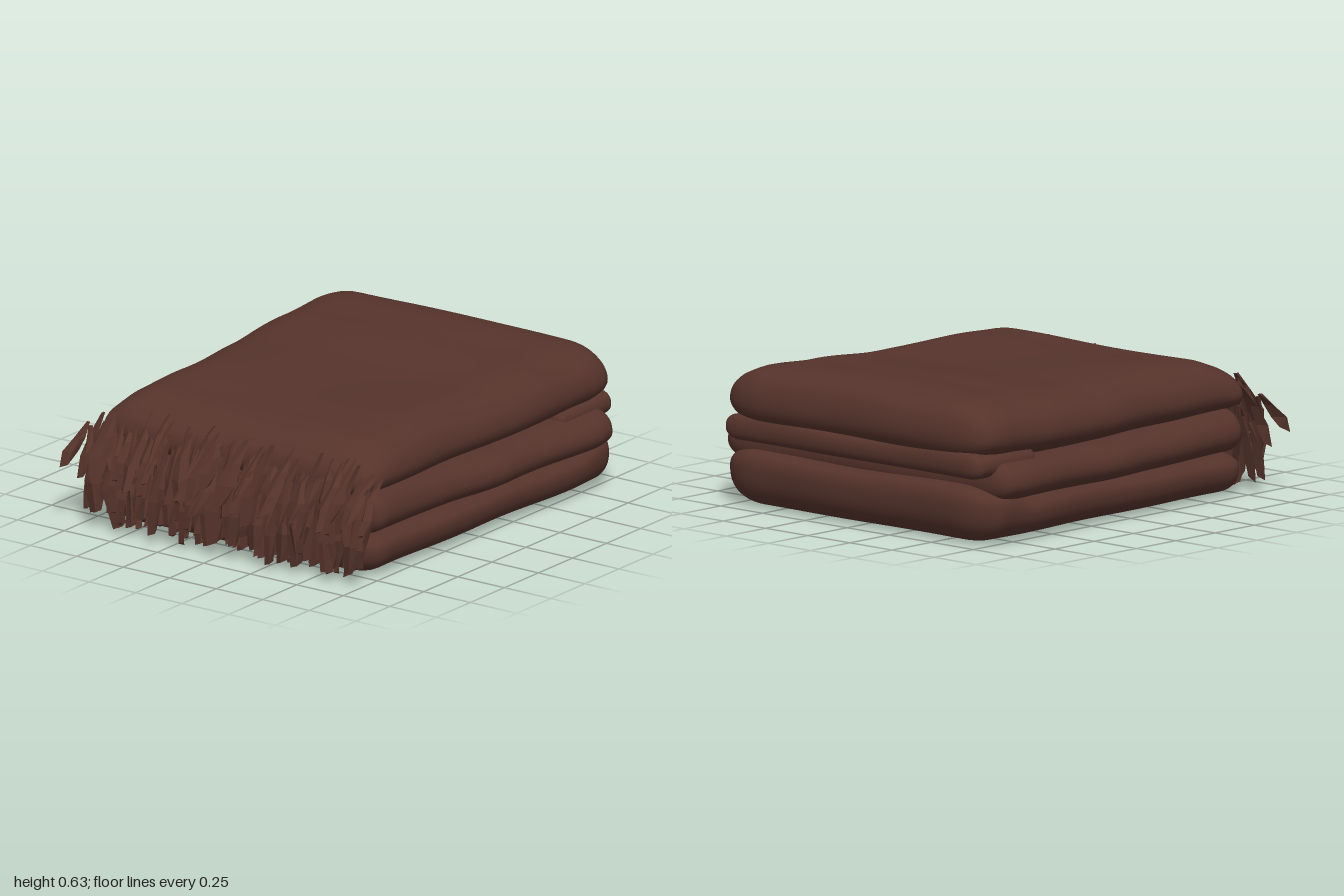
import * as THREE from 'three';
import { mergeVertices } from 'three/addons/utils/BufferGeometryUtils.js';

// Small seeded random, so the fringe is always the same
function seeded(seed) {
  return () => {
    seed = (seed * 1664525 + 1013904223) % 4294967296;
    return seed / 4294967296;
  };
}

// Smooth lookup in stations [z, left, right, bottom, top]
function sample(stations, z) {
  let i = 0;
  while (i < stations.length - 2 && z > stations[i + 1][0]) i++;
  const a = stations[i], b = stations[i + 1];
  const t = THREE.MathUtils.smoothstep(z, a[0], b[0]);
  return a.map((v, k) => v + (b[k] - v) * t);
}

// A soft folded layer: a rounded unit box stretched over its stations.
// belly is the height (-1 to 1) at which the rim is widest, power its squareness.
function layerGeometry(stations, { rx, rz, belly, power, phase }) {
  const z0 = stations[0][0], z1 = stations[stations.length - 1][0];
  let geo = new THREE.BoxGeometry(2, 2, 2, 48, 12, 60);
  geo.deleteAttribute('normal');
  geo.deleteAttribute('uv');
  geo = mergeVertices(geo, 1e-4);
  const pos = geo.attributes.position;
  const p = new THREE.Vector3(), q = new THREE.Vector3(), d = new THREE.Vector3();
  const r = new THREE.Vector3(rx, 1, rz);
  const lo = new THREE.Vector3(rx - 1, belly, rz - 1);
  const hi = new THREE.Vector3(1 - rx, belly, 1 - rz);
  for (let i = 0; i < pos.count; i++) {
    p.fromBufferAttribute(pos, i);
    q.copy(p).clamp(lo, hi);
    r.y = p.y > belly ? 1 - belly : 1 + belly;
    d.copy(p).sub(q).divide(r);
    const side = Math.hypot(d.x, d.z);
    d.divideScalar(Math.pow(side ** power + Math.abs(d.y) ** power, 1 / power));
    p.copy(q).add(d.multiply(r));
    const z = z0 + (z1 - z0) * (p.z + 1) / 2;
    const [, left, right, bottom, top] = sample(stations, z);
    const end = 0.006 * Math.sin(p.x * 6 + phase) * p.z ** 3;
    const wave = 0.008 * Math.sin(z * 8 + phase) * p.x;
    const sag = 0.005 * Math.sin(p.x * 4 + z * 3 + phase) * Math.max(0, p.y);
    pos.setXYZ(i,
      left + (right - left) * (p.x + 1) / 2 + wave,
      bottom + (top - bottom) * (p.y + 1) / 2 + sag,
      z + end);
  }
  geo.computeVertexNormals();
  return geo;
}

// One tier of ragged strands, each a bent three-sided strip
function fringeGeometry(count, tier, rand) {
  const verts = [];
  const pick = ([a, b]) => a + (b - a) * rand();
  const tri = (a, b, c) => verts.push(...a, ...b, ...c);
  for (let i = 0; i < count; i++) {
    const x = ((i + 0.5) / count * 2 - 1) * tier.span + (rand() - 0.5) * 0.03;
    const lean = (rand() - 0.5) * 0.12 - x * 0.03;
    const corner = Math.pow(Math.abs(x) / 0.8, 6);
    const root = [pick(tier.rootY) - 0.07 * corner, pick(tier.rootZ)];
    const tip = [pick(tier.tipY), pick(tier.tipZ) - 0.05 * corner];
    const half = 0.02 + rand() * 0.02;
    const twist = (rand() - 0.5) * 2.2;
    const rings = [];
    for (let s = 0; s < 4; s++) {
      const t = s / 3;
      const cx = x + lean * t + (s % 3 ? (rand() - 0.5) * 0.025 : 0);
      const cy = root[0] + (tip[0] - root[0]) * t;
      const cz = root[1] + (tip[1] - root[1]) * t + tier.bulge * Math.sin(Math.PI * t);
      const w = half * [0.25, 0.8, 1.15, 0.8][s];
      const ring = [[-w, -0.008], [w, -0.008], [w * 0.2, 0.016]].map(([u, v]) => {
        const c = Math.cos(twist * t), n = Math.sin(twist * t);
        return [cx + u * c + v * n, cy + (s === 3 ? u * 0.5 : 0), cz - u * n + v * c];
      });
      rings.push(ring);
    }
    for (let s = 0; s < 3; s++) {
      for (let k = 0; k < 3; k++) {
        const m = (k + 1) % 3, a = rings[s], b = rings[s + 1];
        tri(a[k], b[k], b[m]);
        tri(a[k], b[m], a[m]);
      }
    }
    tri(rings[0][0], rings[0][1], rings[0][2]);
    tri(rings[3][0], rings[3][2], rings[3][1]);
  }
  const geo = new THREE.BufferGeometry();
  geo.setAttribute('position', new THREE.Float32BufferAttribute(verts, 3));
  geo.computeVertexNormals();
  return geo;
}

export function createModel() {
  const group = new THREE.Group();
  const wool = new THREE.MeshStandardMaterial({ color: 0x55332b });
  wool.name = 'brown wool';
  wool.side = THREE.DoubleSide;
  const add = (name, geo) => {
    const mesh = new THREE.Mesh(geo, wool);
    mesh.name = name;
    group.add(mesh);
  };

  // Folded layers, listed from back to front
  add('bottomLayer', layerGeometry([
    [-0.97, -0.80, 0.80, 0.02, 0.26],
    [-0.85, -0.81, 0.81, 0.005, 0.25],
    [-0.65, -0.80, 0.80, 0.005, 0.20],
    [0.2, -0.75, 0.76, 0, 0.195],
    [0.78, -0.74, 0.75, 0, 0.19],
  ], { rx: 0.26, rz: 0.13, belly: 0.25, power: 2.4, phase: 0.5 }));
  add('middleLayer', layerGeometry([
    [-0.90, -0.83, 0.83, 0.19, 0.37],
    [-0.75, -0.85, 0.85, 0.185, 0.365],
    [-0.2, -0.80, 0.80, 0.175, 0.36],
    [0.2, -0.77, 0.76, 0.175, 0.36],
    [0.75, -0.74, 0.75, 0.185, 0.385],
  ], { rx: 0.17, rz: 0.07, belly: -0.1, power: 2, phase: 2.1 }));
  add('backFold', layerGeometry([
    [-0.985, -0.77, 0.76, 0.295, 0.405],
    [-0.6, -0.76, 0.75, 0.30, 0.40],
  ], { rx: 0.1, rz: 0.2, belly: 0, power: 2.2, phase: 1.2 }));
  add('topLayer', layerGeometry([
    [-0.995, -0.77, 0.76, 0.375, 0.61],
    [-0.8, -0.79, 0.78, 0.35, 0.63],
    [-0.55, -0.79, 0.77, 0.34, 0.62],
    [-0.15, -0.76, 0.75, 0.34, 0.595],
    [0.3, -0.72, 0.74, 0.34, 0.60],
    [0.58, -0.71, 0.74, 0.345, 0.59],
    [0.82, -0.73, 0.74, 0.36, 0.53],
  ], { rx: 0.29, rz: 0.1, belly: -0.2, power: 2, phase: 3.7 }));

  // Fringe hanging over the front edge, in overlapping tiers
  const rand = seeded(11);
  add('fringeInner', fringeGeometry(46, {
    span: 0.75, rootY: [0.32, 0.44], rootZ: [0.76, 0.80],
    tipY: [0.02, 0.08], tipZ: [0.81, 0.88], bulge: 0.005,
  }, rand));
  add('fringeMiddle', fringeGeometry(44, {
    span: 0.76, rootY: [0.40, 0.50], rootZ: [0.79, 0.82],
    tipY: [0.02, 0.14], tipZ: [0.85, 0.92], bulge: 0.04,
  }, rand));
  add('fringeOuter', fringeGeometry(50, {
    span: 0.77, rootY: [0.49, 0.55], rootZ: [0.73, 0.81],
    tipY: [0.18, 0.32], tipZ: [0.88, 0.975], bulge: 0.025,
  }, rand));
  return group;
}
